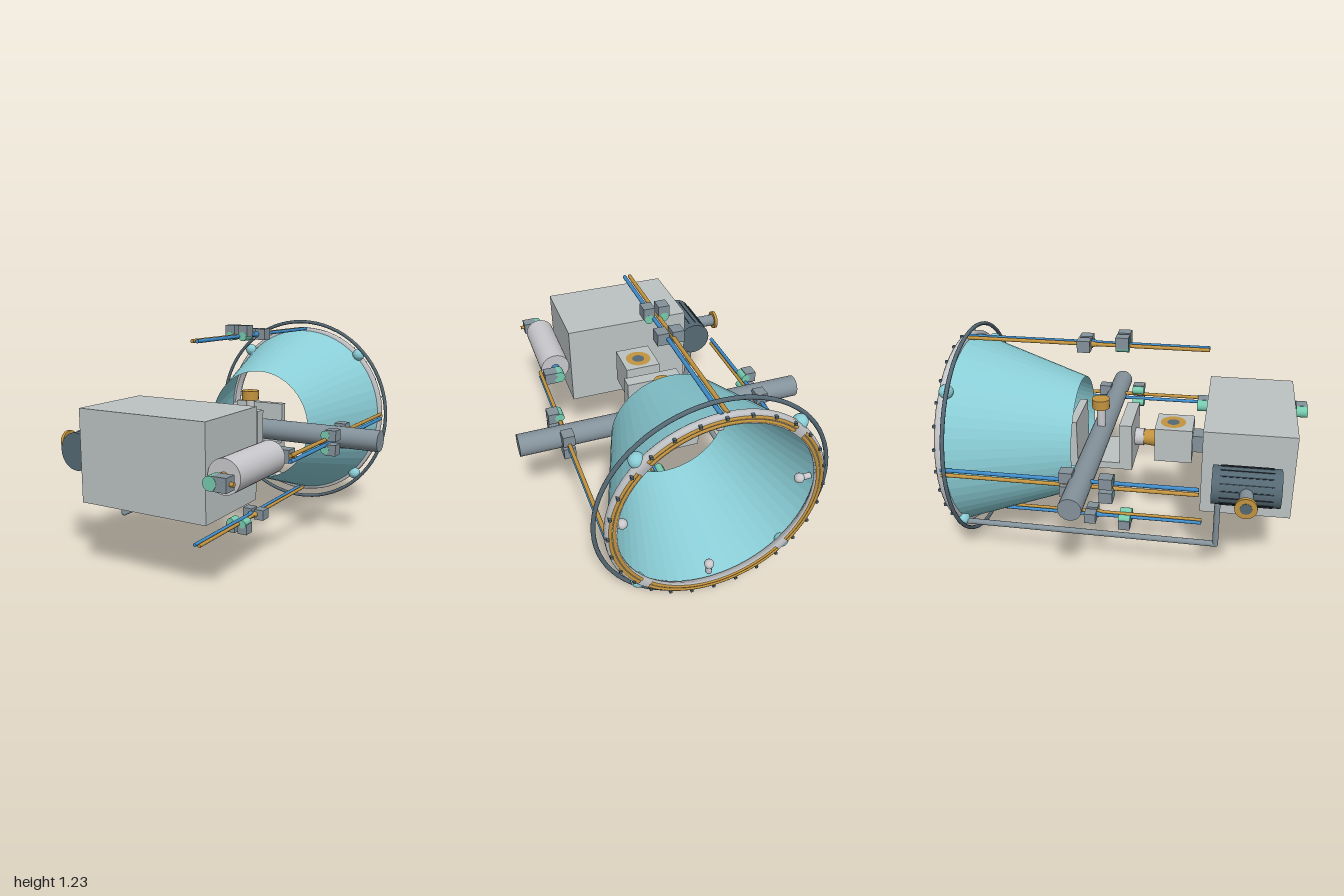
import * as THREE from 'three';

const mat = (name, color, extra = {}) => Object.assign(new THREE.MeshStandardMaterial({ color, ...extra }), { name });

export function createModel() {
  const teal = mat('teal', 0x8acdd6, { flatShading: true, side: THREE.DoubleSide });
  const light = mat('light grey', 0xbcc2c2);
  const pale = mat('pale silver', 0xc9c9cd);
  const steel = mat('steel grey', 0x84929b);
  const slate = mat('slate', 0x556974);
  const dark = mat('dark', 0x2c3841);
  const gold = mat('gold', 0xc3943f);
  const blue = mat('blue', 0x3f8cca);
  const green = mat('green', 0x76cbae);

  const root = new THREE.Group();
  const CY = 0.615; // height of the main axis
  const add = (parent, name, geo, material, x = 0, y = 0, z = 0) => {
    const m = new THREE.Mesh(geo, material);
    m.name = name;
    m.position.set(x, y, z);
    parent.add(m);
    return m;
  };
  // Box given by its limits on each axis
  const box = (parent, name, material, [x0, x1], [y0, y1], [z0, z1]) =>
    add(parent, name, new THREE.BoxGeometry(x1 - x0, y1 - y0, z1 - z0), material, (x0 + x1) / 2, (y0 + y1) / 2, (z0 + z1) / 2);
  // Round bar between two points
  const bar = (parent, name, material, a, b, r, r2 = r, seg = 20) => {
    const A = new THREE.Vector3(...a), B = new THREE.Vector3(...b), d = B.clone().sub(A);
    const m = add(parent, name, new THREE.CylinderGeometry(r2, r, d.length(), seg), material);
    m.position.copy(A).add(B).multiplyScalar(0.5);
    m.quaternion.setFromUnitVectors(new THREE.Vector3(0, 1, 0), d.normalize());
    return m;
  };
  const ball = (parent, name, material, r, x, y, z) => add(parent, name, new THREE.SphereGeometry(r, 18, 12), material, x, y, z);

  // Nozzle, its rim and everything arranged around the main axis
  const axis = new THREE.Group();
  axis.name = 'nozzleAssembly';
  axis.position.y = CY;
  root.add(axis);
  const cone = new THREE.CylinderGeometry(0.328, 0.545, 0.645, 56, 1, true).rotateX(Math.PI / 2);
  add(axis, 'nozzle', cone, teal, 0, 0, -0.6275);
  const rimPts = [[0.525, 0.935], [0.552, 0.935], [0.56, 0.945], [0.56, 0.968], [0.55, 0.978], [0.505, 0.978], [0.505, 0.962], [0.525, 0.935]];
  const rim = new THREE.LatheGeometry(rimPts.map(([r, h]) => new THREE.Vector2(r, h)), 64).rotateX(-Math.PI / 2);
  const rimMat = mat('rim silver', 0xc4c6c9, { side: THREE.DoubleSide });
  add(axis, 'nozzleRim', rim, rimMat);
  add(axis, 'outerHoop', new THREE.TorusGeometry(0.6, 0.011, 10, 72), slate, 0, 0, -0.915);

  for (let i = 0; i < 4; i++) {
    const q = new THREE.Group();
    q.name = 'quarter' + (i + 1);
    q.rotation.z = -i * Math.PI / 2;
    axis.add(q);
    // Paired feed rods
    bar(q, 'goldRod', gold, [-0.015, 0.553, 0.4], [-0.015, 0.553, -0.955], 0.0105, 0.0105, 12);
    bar(q, 'blueRod', blue, [0.015, 0.553, 0.4], [0.015, 0.553, -0.955], 0.0105, 0.0105, 12);
    for (const s of [-1, 1]) {
      // Valves and clamps on the rods
      const x = s * 0.04;
      box(q, 'valveBlock', steel, [x - 0.03, x + 0.03], [0.553, 0.615], [-0.1, -0.03]);
      bar(q, 'valveBody', green, [x, 0.553, -0.101], [x, 0.553, -0.029], 0.025);
      bar(q, 'valveSpigot', s < 0 ? gold : blue, [s * 0.015, 0.553, -0.21], [s * 0.015, 0.553, -0.245], 0.011, 0.019, 12);
      box(q, 'rodClamp', steel, [x - 0.031, x + 0.031], [0.522, 0.586], [-0.31, -0.24]);
    }
    // Gold arcs set into the rim
    for (const r of [0.518, 0.538]) {
      const arc = add(q, 'rimArc', new THREE.TorusGeometry(r, 0.0095, 8, 28, Math.PI / 2 - 0.12), gold, 0, 0, -0.975);
      arc.rotation.z = Math.PI / 4 + 0.06;
    }
    // Rim bolts
    for (let k = 0; k < 7; k++) {
      const a = Math.PI / 4 + (k + 0.5) * Math.PI / 14;
      box(q, 'rimBolt', slate, [-0.007, 0.007], [-0.007, 0.007], [-0.988, -0.97]).position.set(0.55 * Math.cos(a), 0.55 * Math.sin(a), -0.979);
    }
    // Outer hoop mount and inner knob
    ball(q, 'hoopMount', teal, 0.038, 0.395, 0.395, -0.935);
    bar(q, 'knobStem', pale, [0, 0.52, -0.91], [0, 0.465, -0.91], 0.016, 0.016, 12);
    ball(q, 'innerKnob', pale, 0.026, 0, 0.46, -0.91);
  }

  // Cross beam with the capped stem
  bar(root, 'crossBeam', steel, [-0.805, CY + 0.002, -0.205], [0.805, CY + 0.002, -0.205], 0.06, 0.06, 28);
  bar(root, 'capStem', pale, [0, 0.66, -0.2], [0, 0.8, -0.2], 0.024);
  bar(root, 'cap', gold, [0, 0.785, -0.2], [0, 0.84, -0.2], 0.05);

  // Bracket holding the nozzle
  box(root, 'frontBracketPlate', light, [-0.155, 0.155], [0.48, 0.755], [-0.07, 0]);
  box(root, 'bracketArm', light, [-0.155, 0.155], [0.48, 0.52], [-0.31, -0.07]);
  box(root, 'rearBracketPlate', light, [-0.155, 0.155], [0.48, 0.755], [-0.355, -0.31]);

  // Coupling block between bracket and housing
  box(root, 'couplingBlock', light, [-0.1, 0.1], [0.52, 0.72], [0.12, 0.33]);
  box(root, 'couplingNeck', steel, [-0.05, 0.05], [0.565, 0.665], [0.33, 0.4]);
  bar(root, 'goldCollar', gold, [0, CY, 0.12], [0, CY, 0.05], 0.05, 0.042);
  bar(root, 'paleCollar', pale, [0, CY, 0.05], [0, CY, 0], 0.05);
  for (const [y, s] of [[0.721, 1], [0.519, -1]]) {
    const ring = add(root, 'couplingRing', new THREE.RingGeometry(0.035, 0.072, 28), gold, 0, y, 0.215);
    const hole = add(root, 'couplingHole', new THREE.CircleGeometry(0.035, 28), slate, 0, y, 0.215);
    ring.rotation.x = hole.rotation.x = -s * Math.PI / 2;
  }

  // Main housing and underside panel
  box(root, 'housing', light, [-0.365, 0.365], [0.38, 0.86], [0.4, 0.88]);
  box(root, 'undersidePanel', dark, [-0.18, 0.18], [0.37, 0.38], [0.52, 0.77]);

  // Silver tank on the left side, with fittings at both ends
  const tx = 0.455, ty = 0.62;
  bar(root, 'silverTank', pale, [tx, ty, 0.43], [tx, ty, 0.87], 0.085, 0.085, 32);
  bar(root, 'blueFeed', blue, [tx, ty, 0.375], [tx, ty, 0.43], 0.024);
  bar(root, 'goldFeed', gold, [tx, ty, 0.87], [tx, ty, 0.925], 0.024);
  for (const z of [0.355, 0.96]) {
    bar(root, 'tankElbow', green, [tx, ty, z - 0.034], [tx, ty, z + 0.036], 0.034);
    box(root, 'tankFitting', steel, [tx + 0.01, tx + 0.085], [ty - 0.034, ty + 0.034], [z - 0.034, z + 0.034]);
    bar(root, 'fittingStub', gold, [tx + 0.08, ty, z], [tx + 0.105, ty, z], 0.011);
  }

  // Dark ribbed drum on the right side, with a flanged outlet
  const dx = -0.46;
  bar(root, 'drum', slate, [dx, CY, 0.46], [dx, CY, 0.81], 0.1, 0.1, 32);
  for (let i = 0; i < 16; i++) {
    const a = (i + 0.5) * Math.PI / 8;
    const rib = box(root, 'drumRib', dark, [-0.003, 0.003], [-0.003, 0.003], [0.5, 0.77]);
    rib.position.set(dx + 0.1 * Math.cos(a), CY + 0.1 * Math.sin(a), 0.635);
    rib.rotation.z = a;
  }
  bar(root, 'outletPipe', steel, [-0.54, CY + 0.005, 0.635], [-0.662, CY + 0.005, 0.635], 0.036);
  bar(root, 'outletFlange', gold, [-0.66, CY + 0.005, 0.635], [-0.678, CY + 0.005, 0.635], 0.056, 0.056, 28);
  bar(root, 'outletHole', slate, [-0.677, CY + 0.005, 0.635], [-0.68, CY + 0.005, 0.635], 0.03);

  // Drain pipe from the drum back to the hoop
  bar(root, 'drainDrop', steel, [-0.448, 0.54, 0.495], [-0.415, 0.21, 0.495], 0.016);
  ball(root, 'drainElbow', steel, 0.0165, -0.415, 0.21, 0.495);
  bar(root, 'drainRun', steel, [-0.415, 0.21, 0.495], [-0.4, 0.21, -0.92], 0.016);

  return root;
}
